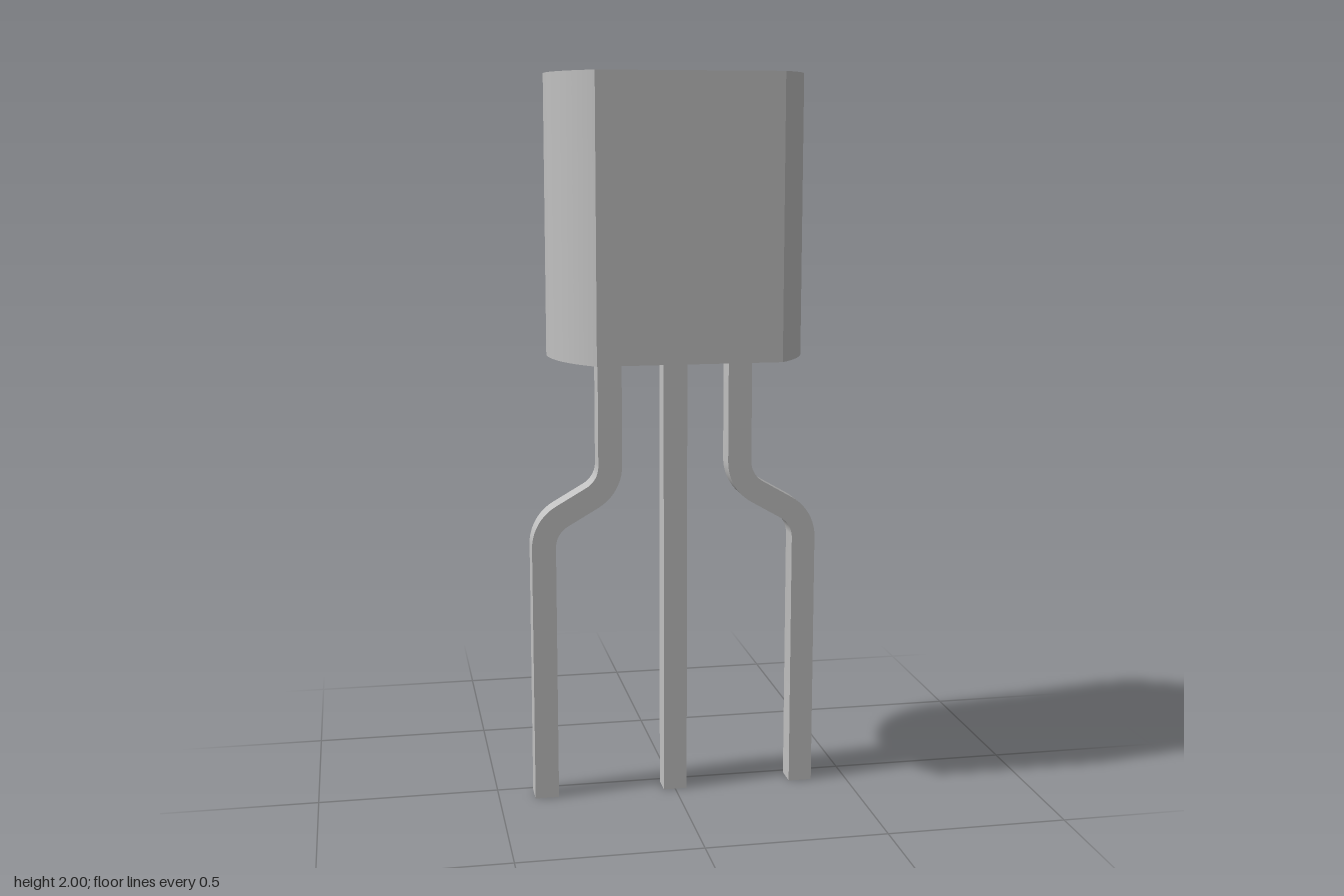
import * as THREE from 'three';
import { toCreasedNormals } from 'three/addons/utils/BufferGeometryUtils.js';

const R = 0.348, FLAT = 0.245, ZC = 0.05;       // body radius, flat distance, axis z
const Y0 = 1.25, Y1 = 2;                        // body bottom and top
const HOLE_R = 0.11, HOLE_Y = 1.665, HOLE_DEPTH = 0.05, PATCH = 0.15;
const LEG = 0.066;

// Back wall patch: rings growing from the round hole to a square, wrapped on the cylinder
function holePatch() {
  const n = 64, rings = 6, pos = [], nor = [], idx = [];
  for (let k = 0; k <= rings; k++) {
    for (let i = 0; i <= n; i++) {
      const a = i / n * Math.PI * 2, c = Math.cos(a), s = Math.sin(a);
      const edge = PATCH / Math.max(Math.abs(c), Math.abs(s));
      const r = THREE.MathUtils.lerp(HOLE_R, edge, k / rings);
      const x = r * c, z = -Math.sqrt(R * R - x * x);
      pos.push(x, HOLE_Y + r * s, z);
      nor.push(x / R, 0, z / R);
    }
  }
  for (let k = 0; k < rings; k++) {
    for (let i = 0; i < n; i++) {
      const a = k * (n + 1) + i, b = a + n + 1;
      idx.push(a, a + 1, b, b, a + 1, b + 1);
    }
  }
  const g = new THREE.BufferGeometry();
  g.setAttribute('position', new THREE.Float32BufferAttribute(pos, 3));
  g.setAttribute('normal', new THREE.Float32BufferAttribute(nor, 3));
  g.setIndex(idx);
  return g;
}

// Inner wall of the dimple, from the curved rim to the flat floor
function dimpleWall(floorZ) {
  const g = new THREE.CylinderGeometry(HOLE_R, HOLE_R, 1, 64, 1, true).rotateX(Math.PI / 2);
  const p = g.attributes.position;
  for (let i = 0; i < p.count; i++) {
    const x = p.getX(i);
    p.setZ(i, p.getZ(i) > 0 ? floorZ : -Math.sqrt(R * R - x * x));
  }
  return g.translate(0, HOLE_Y, 0);
}

// Bent leg: square bar swept along an S-shaped centre line
function bentLeg() {
  const r = 0.1, turn = Math.PI / 3, steps = 10, path = [];
  const xTop = 0.182, xLow = 0.367, yBend = 0.945;
  const slope = (xLow - xTop - r) / Math.sin(turn);
  const drop = 2 * r * Math.sin(turn) + slope * Math.cos(turn);
  path.push([xTop, Y0 + 0.02, 0]);
  for (let i = 0; i <= steps; i++) {
    const a = turn * i / steps;
    path.push([xTop + r * (1 - Math.cos(a)), yBend - r * Math.sin(a), a]);
  }
  for (let i = steps; i >= 0; i--) {
    const a = turn * i / steps;
    path.push([xLow - r * (1 - Math.cos(a)), yBend - drop + r * Math.sin(a), a]);
  }
  path.push([xLow, 0, 0]);
  const side = d => path.map(([x, y, a]) =>
    new THREE.Vector2(x + d * Math.cos(a), y + d * Math.sin(a)));
  const shape = new THREE.Shape([...side(-LEG / 2), ...side(LEG / 2).reverse()]);
  const g = new THREE.ExtrudeGeometry(shape, { depth: LEG, bevelEnabled: false });
  return toCreasedNormals(g.translate(0, 0, -LEG / 2), 0.5);
}

export function createModel() {
  const model = new THREE.Group();
  const grey = new THREE.MeshStandardMaterial({ color: 0xc0c0c0 });
  grey.name = 'light grey';
  const add = (parent, name, geometry) => {
    const m = new THREE.Mesh(geometry, grey);
    m.name = name;
    parent.add(m);
    return m;
  };

  // Body: D-shaped cylinder
  const body = new THREE.Group();
  body.name = 'body';
  body.position.z = ZC;
  model.add(body);

  const start = Math.acos(FLAT / R), half = Math.asin(PATCH / R);
  const wall = (name, y0, y1, a0, a1, n) => add(body, name,
    new THREE.CylinderGeometry(R, R, y1 - y0, n, 1, true, a0, a1 - a0).translate(0, (y0 + y1) / 2, 0));
  wall('leftWall', Y0, Y1, start, Math.PI - half, 40);
  wall('rightWall', Y0, Y1, Math.PI + half, Math.PI * 2 - start, 40);
  wall('backWallLower', Y0, HOLE_Y - PATCH, Math.PI - half, Math.PI + half, 16);
  wall('backWallUpper', HOLE_Y + PATCH, Y1, Math.PI - half, Math.PI + half, 16);
  add(body, 'backWallAroundDimple', holePatch());

  const flatWidth = 2 * R * Math.sin(start);
  add(body, 'flatFace', new THREE.PlaneGeometry(flatWidth, Y1 - Y0).translate(0, (Y0 + Y1) / 2, FLAT));

  // End caps
  const outline = new THREE.Shape();
  outline.absarc(0, 0, R, start - Math.PI / 2, Math.PI * 1.5 - start, false);
  add(body, 'topCap', new THREE.ShapeGeometry(outline, 96).rotateX(-Math.PI / 2).translate(0, Y1, 0));
  add(body, 'bottomCap', new THREE.ShapeGeometry(outline, 96)
    .rotateZ(Math.PI).rotateX(Math.PI / 2).translate(0, Y0, 0));

  // Round dimple in the back
  const floorZ = -R + HOLE_DEPTH;
  const inner = add(body, 'dimpleWall', dimpleWall(floorZ));
  inner.material = grey.clone();
  inner.material.side = THREE.BackSide;
  add(body, 'dimpleFloor', new THREE.CircleGeometry(HOLE_R, 64).rotateY(Math.PI).translate(0, HOLE_Y, floorZ));

  // Legs
  const legs = new THREE.Group();
  legs.name = 'legs';
  legs.position.z = ZC;
  model.add(legs);
  add(legs, 'middleLeg', new THREE.BoxGeometry(LEG, Y0 + 0.02, LEG).translate(0, (Y0 + 0.02) / 2, 0));
  const legGeometry = bentLeg();
  add(legs, 'leftLeg', legGeometry);
  add(legs, 'rightLeg', legGeometry).rotation.y = Math.PI;

  return model;
}
